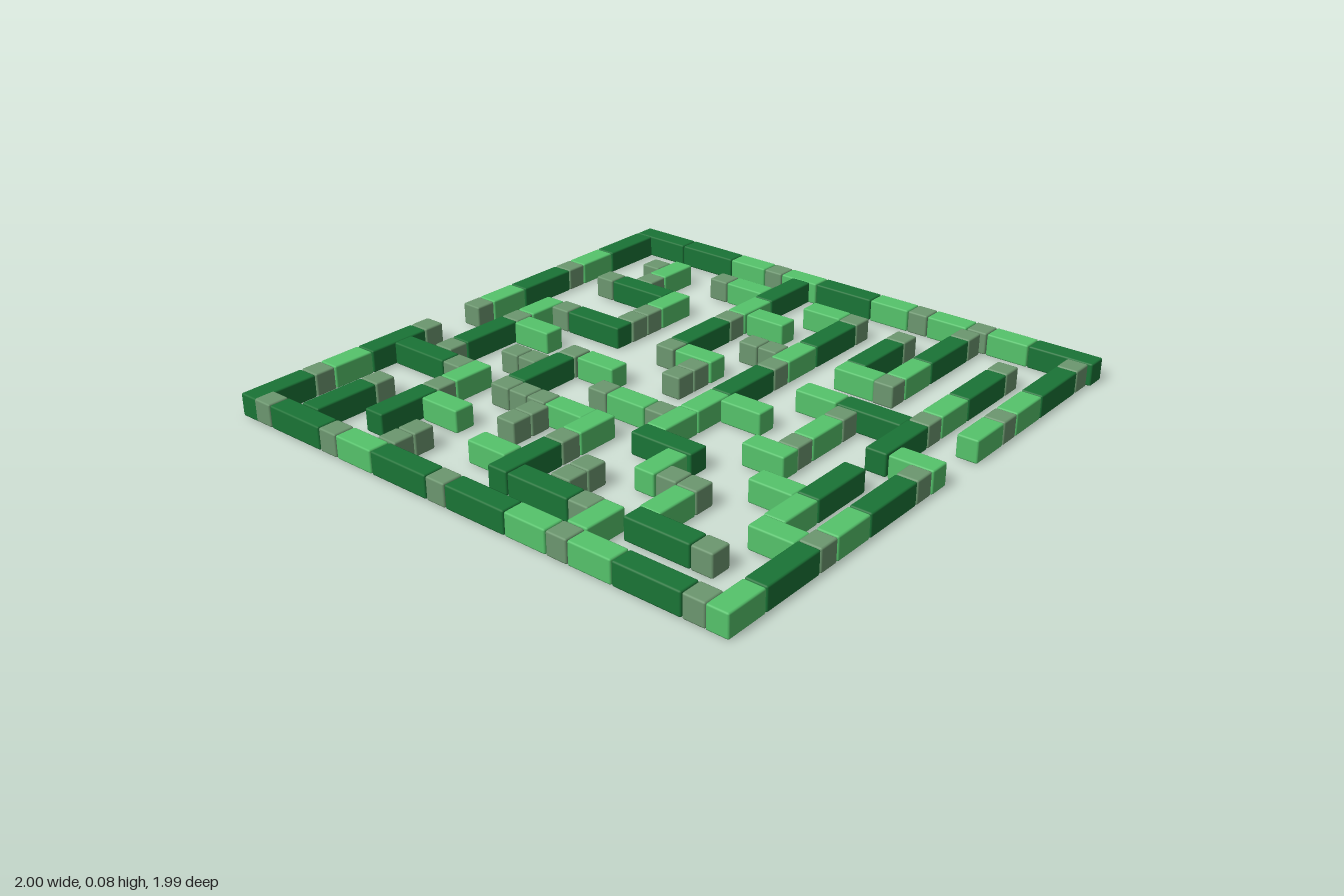
import * as THREE from 'three';
import { RoundedBoxGeometry } from 'three/addons/geometries/RoundedBoxGeometry.js';

// Hedge block lengths are multiples of one unit: S = 1, M = 2, L = 3
const UNIT = 0.0797, GAP = 0.003, WIDTH = 0.076, HEIGHT = 0.08;
const TYPES = {
  S: { name: 'shortHedge', units: 1, color: 0x6c976f },
  M: { name: 'mediumHedge', units: 2, color: 0x55c36b },
  L: { name: 'longHedge', units: 3, color: 0x1a7436 },
};

// Runs along x: [start x, centre z, blocks]
const ROWS = [
  [-1, -0.955, 'LSMLS'], [-0.033, -0.955, 'SMLSML'],
  [-0.92, -0.75, 'LS'], [-0.345, -0.765, 'SLSM'],
  [-0.82, -0.567, 'LSM'], [0.543, -0.633, 'SM'], [0.67, -0.71, 'S'],
  [0.225, -0.445, 'SSM'], [-0.92, -0.39, 'SS'], [-0.44, -0.4, 'SLS'],
  [-0.6, -0.21, 'SS'], [0.13, -0.185, 'SLSML'],
  [-0.835, -0.007, 'LSM'], [-0.03, -0.025, 'SS'],
  [-0.755, 0.17, 'SS'], [-0.335, 0.175, 'MMLSMLS'],
  [-0.573, 0.33, 'M'], [-0.92, 0.39, 'M'], [-0.733, 0.49, 'MS'],
  [0.437, 0.387, 'LS'], [0.357, 0.545, 'SMLS'], [-0.177, 0.557, 'SMS'],
  [-0.55, 0.783, 'ML'], [-0.043, 0.78, 'LSMLS'],
  [-1, 0.94, 'MLSMLS'], [0.203, 0.947, 'MSMLS'],
];

// Runs along z: [centre x, start z, blocks]
const COLUMNS = [
  [-0.96, -0.93, 'SLSMLSLMSMLS'], [0.96, -0.993, 'LLMSMLMSMSML'],
  [-0.385, -0.92, 'LS'], [-0.003, -0.727, 'M'], [0.185, -0.727, 'SL'],
  [0.505, -0.8, 'SL'], [-0.617, -0.527, 'M'], [-0.2, -0.595, 'SS'],
  [-0.08, -0.357, 'M'], [-0.4, -0.437, 'SSSM'], [-0.725, -0.205, 'M'],
  [0.76, -0.46, 'SM'], [-0.225, -0.175, 'SMS'], [0.173, -0.143, 'M'],
  [0.37, -0.023, 'SS'], [0.57, -0.143, 'M'], [0.745, -0.023, 'M'],
  [-0.797, 0.035, 'LS'], [-0.372, 0.137, 'L'], [-0.03, 0.213, 'M'],
  [-0.53, 0.37, 'S'], [-0.767, 0.455, 'LS'], [-0.215, 0.44, 'M'],
  [-0.38, 0.59, 'M'], [0.183, 0.35, 'ML'], [0.4, 0.35, 'M'],
  [-0.587, 0.747, 'M'], [-0.005, 0.823, 'M'],
];

export function createModel() {
  const maze = new THREE.Group();
  maze.name = 'hedgeMaze';

  // One shared shape and colour per block type
  const kinds = {};
  for (const [key, t] of Object.entries(TYPES)) {
    kinds[key] = {
      ...t,
      geometry: new RoundedBoxGeometry(t.units * UNIT - GAP, HEIGHT, WIDTH, 1, 0.006),
      material: new THREE.MeshStandardMaterial({ color: t.color }),
    };
  }

  // Lays a run of blocks end to end along the x or z axis
  function addRun(x, z, blocks, alongZ) {
    const run = new THREE.Group();
    run.name = alongZ ? 'hedgeColumn' : 'hedgeRow';
    run.position.set(x, HEIGHT / 2, z);
    if (alongZ) run.rotation.y = -Math.PI / 2;
    let offset = 0;
    for (const key of blocks) {
      const kind = kinds[key];
      const block = new THREE.Mesh(kind.geometry, kind.material);
      block.name = kind.name;
      block.position.x = offset + (kind.units * UNIT) / 2;
      offset += kind.units * UNIT;
      run.add(block);
    }
    maze.add(run);
  }

  for (const [x, z, blocks] of ROWS) addRun(x, z, blocks, false);
  for (const [x, z, blocks] of COLUMNS) addRun(x, z, blocks, true);
  return maze;
}
